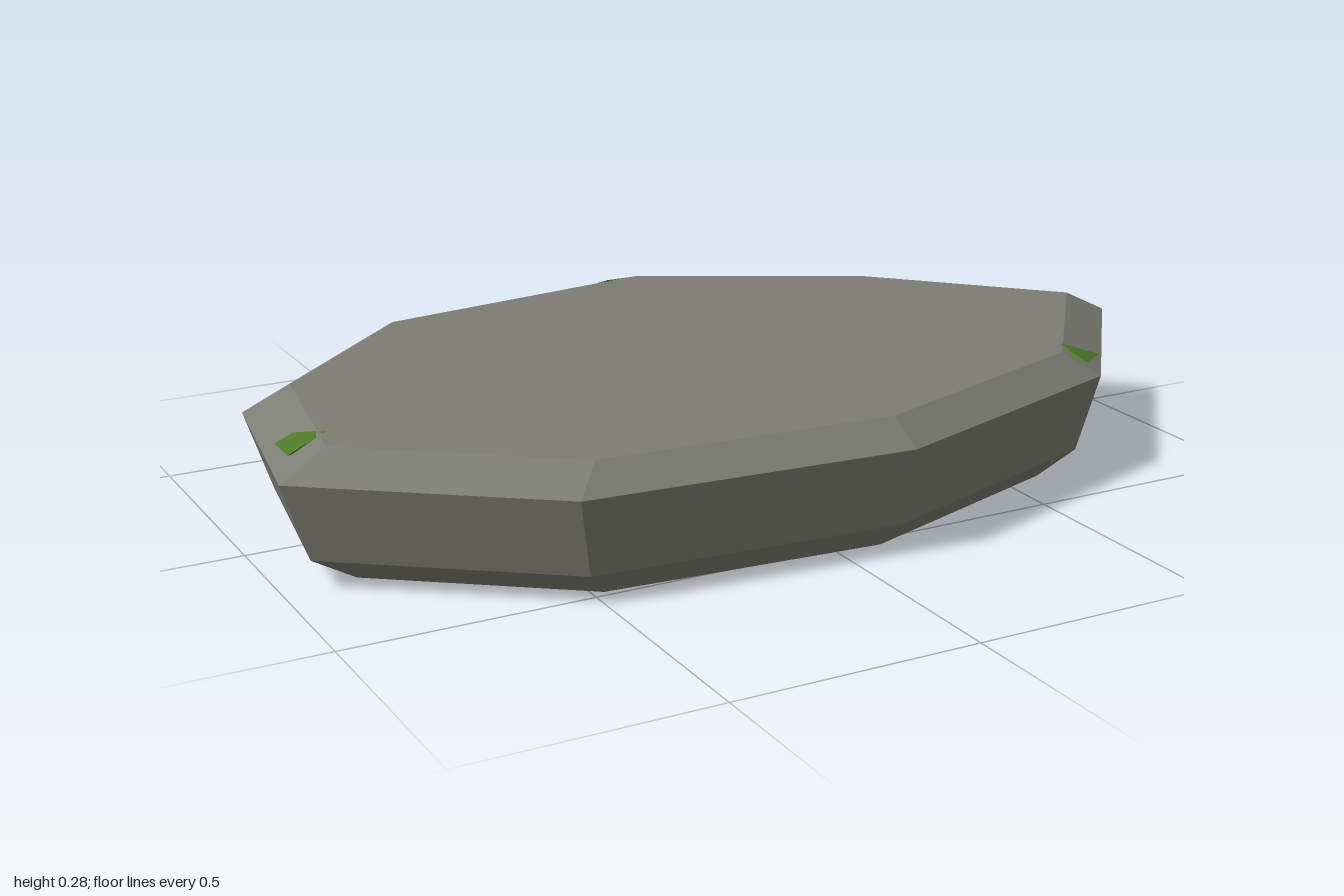
import * as THREE from 'three';
import { ConvexGeometry } from 'three/addons/geometries/ConvexGeometry.js';

// Slab outline (x, z) at its widest level
const OUTLINE = [
  [1, 0.02], [0.69, 0.42], [0.11, 0.62], [-0.56, 0.57], [-1, 0.24],
  [-0.93, -0.19], [-0.56, -0.53], [0.13, -0.625], [0.64, -0.35],
];
// Levels of the slab: [height, outline scale]
const LEVELS = [[0, 0.85], [0.06, 0.945], [0.22, 1], [0.27, 0.9]];

function slabGeometry() {
  const pos = [];
  const n = OUTLINE.length;
  const point = (level, i) => {
    const [y, s] = LEVELS[level];
    const [x, z] = OUTLINE[i % n];
    return [x * s, y, z * s];
  };
  const top = LEVELS.length - 1;
  for (let i = 0; i < n; i++) {
    // sloping sides
    for (let l = 0; l < top; l++) {
      const a = point(l, i), b = point(l, i + 1), c = point(l + 1, i + 1), d = point(l + 1, i);
      pos.push(...a, ...c, ...b, ...a, ...d, ...c);
    }
    // flat caps
    pos.push(0, LEVELS[top][0], 0, ...point(top, i + 1), ...point(top, i));
    pos.push(0, 0, 0, ...point(0, i), ...point(0, i + 1));
  }
  const g = new THREE.BufferGeometry();
  g.setAttribute('position', new THREE.Float32BufferAttribute(pos, 3));
  g.computeVertexNormals();
  return g;
}

// Faceted moss shards resting on the bevelled rim
const MOSS = {
  mossBack: [[-0.06, 0.24, -0.6], [0.13, 0.255, -0.61], [0.13, 0.245, -0.58], [0.04, 0.275, -0.545]],
  mossFrontLeft: [[0.77, 0.225, 0.31], [0.66, 0.25, 0.41], [0.635, 0.255, 0.36], [0.645, 0.275, 0.34]],
  mossRight: [[-0.96, 0.25, 0.1], [-0.92, 0.262, 0.09], [-0.96, 0.25, 0.175], [-0.87, 0.273, 0.14], [-0.93, 0.235, 0.13]],
};

export function createModel() {
  const stone = new THREE.MeshStandardMaterial({ color: 0x7c7d72 });
  stone.name = 'stone';
  stone.flatShading = true;
  const moss = new THREE.MeshStandardMaterial({ color: 0x507a2b });
  moss.name = 'moss';
  moss.flatShading = true;

  const group = new THREE.Group();
  group.name = 'mossyStone';
  const add = (name, geometry, material) => {
    const mesh = new THREE.Mesh(geometry, material);
    mesh.name = name;
    group.add(mesh);
  };

  add('slab', slabGeometry(), stone);
  for (const [name, points] of Object.entries(MOSS)) {
    add(name, new ConvexGeometry(points.map((p) => new THREE.Vector3(...p))), moss);
  }
  return group;
}
